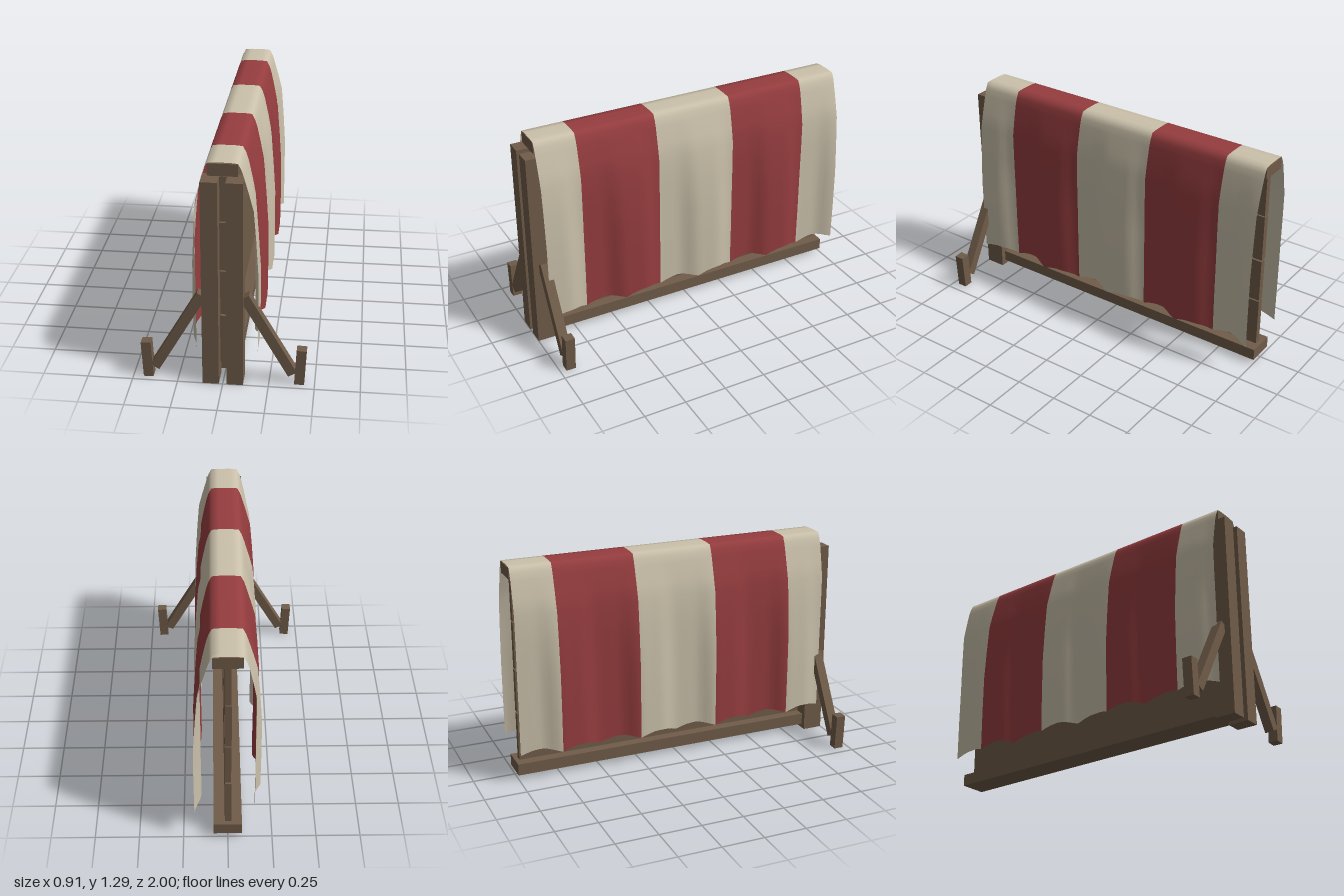
import * as THREE from 'three';

const wood = new THREE.MeshStandardMaterial({ color: 0x705c49 });
wood.name = 'brown wood';
const cream = new THREE.MeshStandardMaterial({ color: 0xcbc1ab, side: THREE.DoubleSide });
cream.name = 'cream cloth';
const red = new THREE.MeshStandardMaterial({ color: 0x963d3f, side: THREE.DoubleSide });
red.name = 'red cloth';

function beam(name, w, h, d, x, y, z, tilt = 0) {
  const mesh = new THREE.Mesh(new THREE.BoxGeometry(w, h, d), wood);
  mesh.name = name;
  mesh.position.set(x, y, z);
  mesh.rotation.z = tilt;
  return mesh;
}

// Striped cloth draped over the cap rail, with folds that deepen towards the hem
function createCloth() {
  const zBack = -1, zFront = 0.94, folds = 16, sub = 4, cols = folds * sub;
  const profile = [[0.04, 1.287], [0.08, 1.283], [0.097, 1.25], [0.11, 1.21], [0.135, 1.11],
    [0.155, 1.02], [0.163, 0.85], [0.169, 0.65], [0.17, 0.42], [0.168, 0.2]];
  const waves = { left: [0.018, -0.02, -0.02, 0.02], right: [-0.02, -0.015, 0.022, 0.014] };
  const rows = profile.length * 2;
  const positions = [], index = [];
  const foldAt = (wave, t) => {
    const k = Math.floor(t), f = t - k;
    return THREE.MathUtils.lerp(wave[k % 4], wave[(k + 1) % 4], f * f * (3 - 2 * f));
  };
  for (let i = 0; i <= cols; i++) {
    const t = i / sub, z = zBack + (zFront - zBack) * i / cols;
    const hem = 0.18 + 0.026 * Math.abs(Math.sin(t * Math.PI / 2));
    for (let j = 0; j < rows; j++) {
      const side = j < profile.length ? -1 : 1;
      const p = side < 0 ? profile.length - 1 - j : j - profile.length;
      const amount = THREE.MathUtils.clamp((1.21 - profile[p][1]) / 0.55, 0, 1);
      const fold = foldAt(side < 0 ? waves.right : waves.left, t) * amount;
      const y = p === profile.length - 1 ? hem : profile[p][1];
      positions.push(side * (profile[p][0] + fold), y, z);
    }
  }
  const geometry = new THREE.BufferGeometry();
  // Stripes: each entry is a number of folds, alternating cream and red
  let col = 0;
  [2, 4, 4, 4, 2].forEach((width, stripe) => {
    const start = index.length;
    for (const end = col + width * sub; col < end; col++) {
      for (let j = 0; j < rows - 1; j++) {
        const a = col * rows + j, b = a + rows;
        index.push(a, b, a + 1, b, b + 1, a + 1);
      }
    }
    geometry.addGroup(start, index.length - start, stripe % 2);
  });
  geometry.setAttribute('position', new THREE.Float32BufferAttribute(positions, 3));
  geometry.setIndex(index);
  geometry.computeVertexNormals();
  const mesh = new THREE.Mesh(geometry, [cream, red]);
  mesh.name = 'stripedCloth';
  return mesh;
}

export function createModel() {
  const model = new THREE.Group();
  model.name = 'clothDrapedBarrier';

  // Rails along the bottom and top
  model.add(beam('baseRail', 0.16, 0.07, 1.88, 0, 0.06, -0.06));
  model.add(beam('capRail', 0.16, 0.068, 1.94, 0, 1.246, -0.03));

  // Stacked wall planks
  [[0.096, 0.386, -0.002], [0.396, 0.655, 0], [0.664, 0.942, -0.002], [0.95, 1.203, 0]]
    .forEach(([low, high, x], i) => {
      model.add(beam('wallPlank' + (i + 1), 0.037, high - low, 1.9, x, (low + high) / 2, -0.025));
    });

  // Paired front posts, each with a brace and a ground stake
  for (const [side, label] of [[1, 'left'], [-1, 'right']]) {
    model.add(beam(label + 'Post', 0.09, 1.2, 0.12, side * 0.066, 0.6, 0.94));
    model.add(beam(label + 'Brace', 0.055, 0.533, 0.055, side * 0.247, 0.294, 0.937, side * 0.518));
    model.add(beam(label + 'Stake', 0.055, 0.214, 0.057, side * 0.421, 0.108, 0.937, -side * 0.05));
  }

  model.add(createCloth());
  return model;
}
